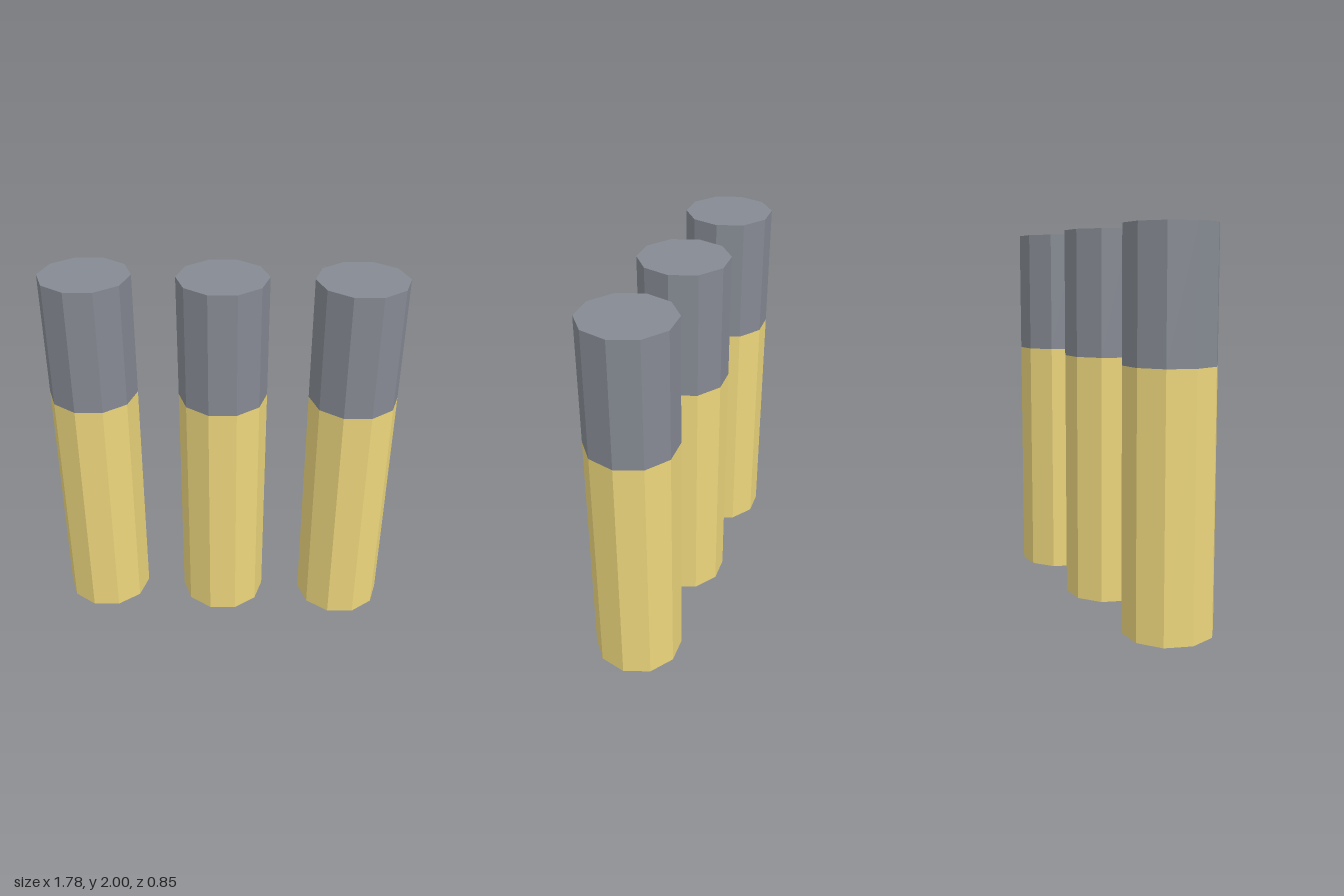
import * as THREE from 'three';

const RADIUS = 0.236;
const SIDES = 10;
const HEIGHT = 2;
const SPLIT = 1.333; // height where the lower colour ends

// One ten-sided section of a post, open where it meets its neighbour
function section(name, y0, y1, material, capY) {
  const group = new THREE.Group();
  group.name = name;

  const wall = new THREE.Mesh(
    new THREE.CylinderGeometry(RADIUS, RADIUS, y1 - y0, SIDES, 1, true), material);
  wall.name = name + 'Wall';
  wall.position.y = (y0 + y1) / 2;

  const cap = new THREE.Mesh(new THREE.CircleGeometry(RADIUS, SIDES, Math.PI / 2), material);
  cap.name = name + 'Cap';
  cap.rotation.x = capY > 0 ? -Math.PI / 2 : Math.PI / 2;
  cap.position.y = capY;

  group.add(wall, cap);
  return group;
}

export function createModel() {
  const model = new THREE.Group();
  model.name = 'postRow';

  const yellow = new THREE.MeshStandardMaterial({ color: 0xecd67c, flatShading: true });
  const grey = new THREE.MeshStandardMaterial({ color: 0x858992, flatShading: true });

  // Three posts in a diagonal row
  ['rightPost', 'middlePost', 'leftPost'].forEach((name, i) => {
    const post = new THREE.Group();
    post.name = name;
    post.add(
      section('lowerSection', 0, SPLIT, yellow, 0),
      section('upperSection', SPLIT, HEIGHT, grey, HEIGHT));
    post.position.set((i - 1) * 0.666, 0, (1 - i) * 0.19);
    model.add(post);
  });

  return model;
}
